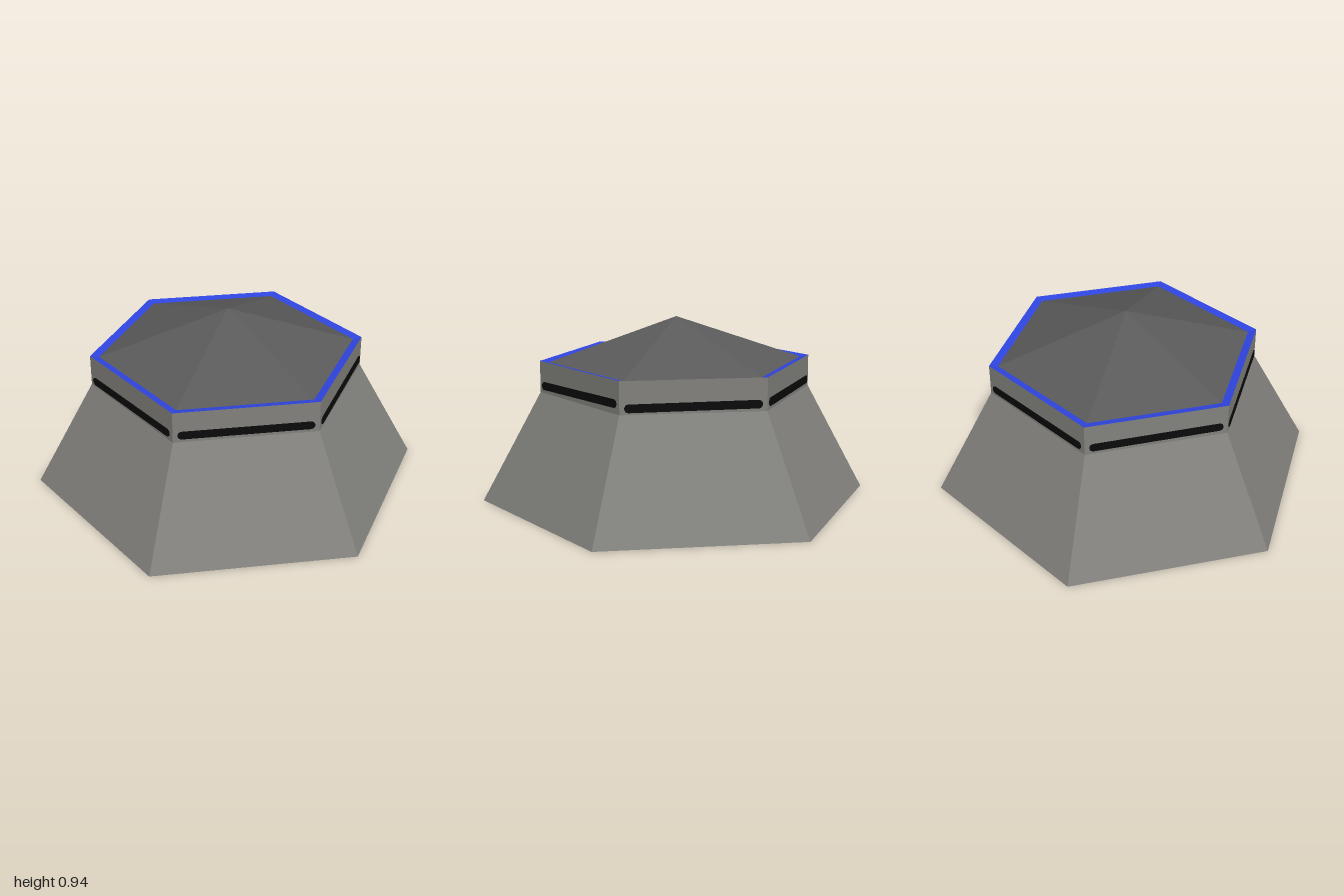
import * as THREE from 'three';

const SIDES = 6;

function material(name, color) {
  const m = new THREE.MeshStandardMaterial({ color, side: THREE.DoubleSide, flatShading: true });
  m.name = name;
  return m;
}

// Open six-sided band between two heights, with corners on the z axis
function hexBand(name, rTop, yTop, rBottom, yBottom, mat) {
  const g = new THREE.CylinderGeometry(rTop, rBottom, yTop - yBottom, SIDES, 1, true);
  g.translate(0, (yTop + yBottom) / 2, 0);
  const mesh = new THREE.Mesh(g, mat);
  mesh.name = name;
  return mesh;
}

// Thin plate with rounded ends, centred on the wall so it shows inside and out
function slitGeometry(length, height, depth) {
  const r = height / 2, h = length / 2 - r;
  const s = new THREE.Shape();
  s.moveTo(-h, -r);
  s.lineTo(h, -r);
  s.absarc(h, 0, r, -Math.PI / 2, Math.PI / 2, false);
  s.lineTo(-h, r);
  s.absarc(-h, 0, r, Math.PI / 2, Math.PI * 1.5, false);
  const g = new THREE.ExtrudeGeometry(s, { depth, bevelEnabled: false, curveSegments: 6 });
  g.translate(0, 0, -depth / 2);
  return g;
}

export function createModel() {
  const concrete = material('concrete grey', 0x82817d);
  const roofGrey = material('roof dark grey', 0x5a5a5a);
  const blue = material('rim blue', 0x2f45e0);
  const black = material('slit black', 0x0a0a0a);

  const model = new THREE.Group();
  model.name = 'bunker';

  // Shell, open underneath
  model.add(hexBand('slopedWall', 0.695, 0.56, 1, 0, concrete));
  model.add(hexBand('upperWall', 0.695, 0.72, 0.695, 0.56, concrete));
  model.add(hexBand('roofRim', 0.65, 0.712, 0.695, 0.72, blue));
  model.add(hexBand('roof', 0, 0.935, 0.65, 0.712, roofGrey));

  // One slit per wall, each slightly uneven
  const slit = slitGeometry(0.65, 0.04, 0.009);
  const tilt = [0.02, 0.008, 0, 0.01, 0.008, 0];
  const height = [0.603, 0.592, 0.597, 0.6, 0.595, 0.597];
  const apothem = 0.695 * Math.cos(Math.PI / SIDES);
  for (let i = 0; i < SIDES; i++) {
    const side = new THREE.Group();
    side.name = 'slitSide' + (i + 1);
    side.rotation.y = (i + 0.5) * Math.PI * 2 / SIDES;
    const mesh = new THREE.Mesh(slit, black);
    mesh.name = 'viewingSlit';
    mesh.position.set(0, height[i], apothem);
    mesh.rotation.z = tilt[i];
    side.add(mesh);
    model.add(side);
  }
  return model;
}
